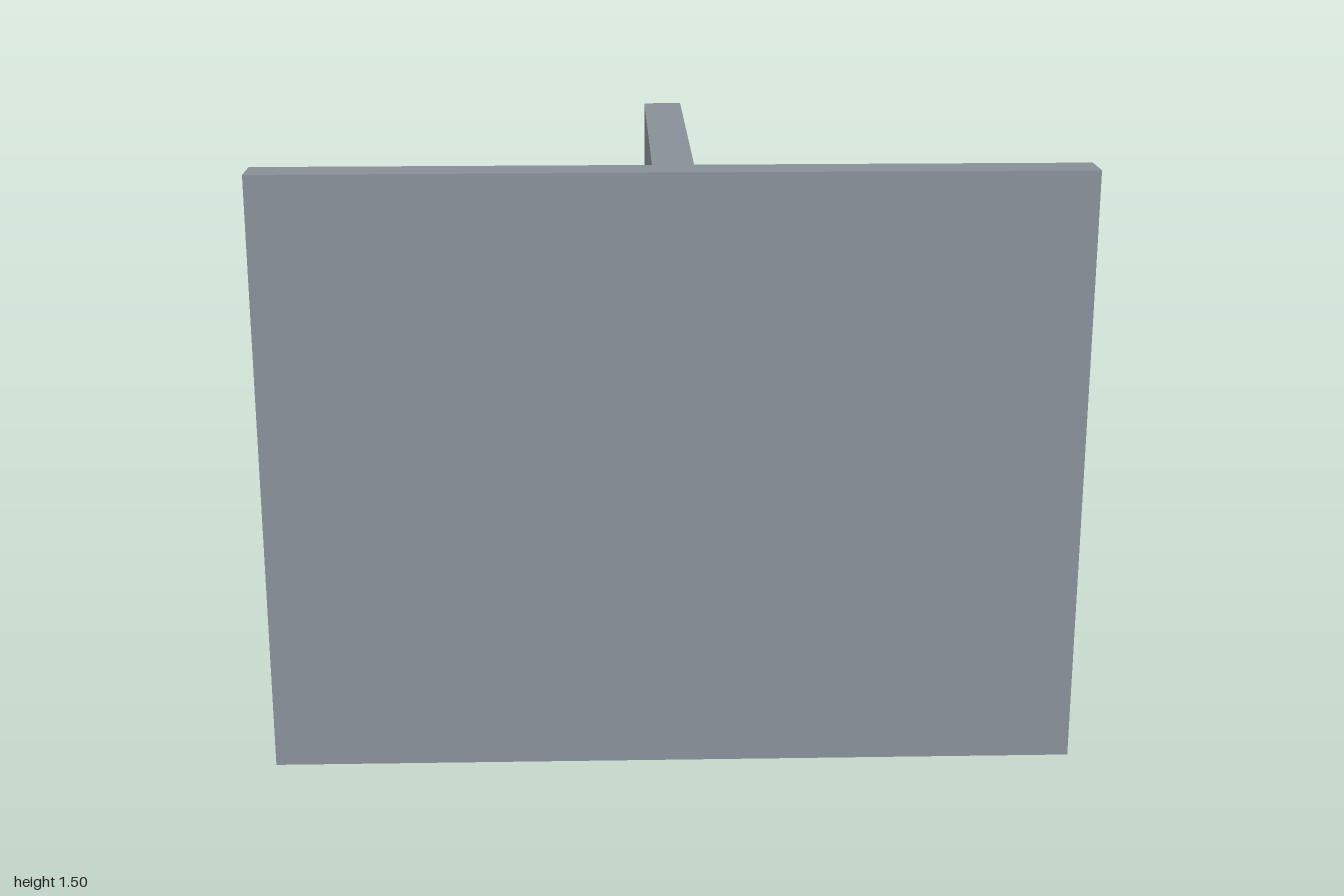
import * as THREE from 'three';

const WIDTH = 2, HEIGHT = 1.5, DEPTH = 1.05, THICK = 0.1;

export function createModel() {
  const group = new THREE.Group();
  group.name = 'teeWall';

  // T-shaped plan: wide front panel with a rib running to the back
  const w = WIDTH / 2, d = DEPTH / 2, t = THICK / 2;
  const inner = -d + THICK;
  const plan = new THREE.Shape([
    [-w, -d], [w, -d], [w, inner], [t, inner],
    [t, d], [-t, d], [-t, inner], [-w, inner],
  ].map(([x, y]) => new THREE.Vector2(x, y)));

  // Extrude upward; plan +y becomes the back (-z)
  const geometry = new THREE.ExtrudeGeometry(plan, { depth: HEIGHT, bevelEnabled: false });
  geometry.rotateX(-Math.PI / 2);

  // Slate grey
  const wall = new THREE.Mesh(geometry, new THREE.MeshStandardMaterial({ color: 0x889098 }));
  wall.name = 'frontPanelWithRearRib';
  group.add(wall);
  return group;
}
